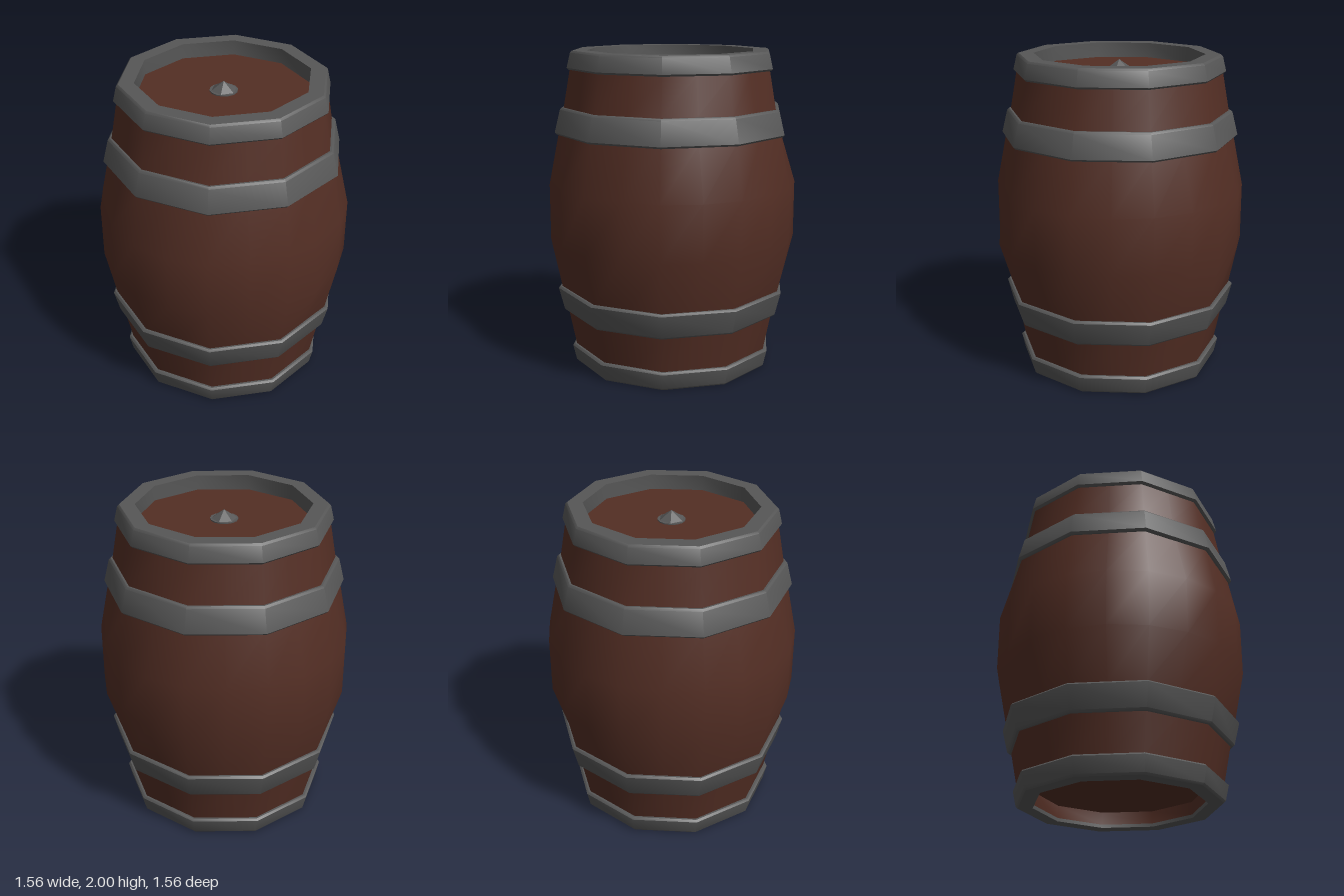
import * as THREE from 'three';
import { toCreasedNormals } from 'three/addons/utils/BufferGeometryUtils.js';

const wood = new THREE.MeshStandardMaterial({ color: 0x532e24 });
wood.name = 'brown wood';
const iron = new THREE.MeshStandardMaterial({ color: 0x575757 });
iron.name = 'grey iron';

const SIDES = 10;
const CREASE = 0.7; // keeps the sides smooth and the rims sharp

// Ten-sided revolved part with a corner on the x axis
function turned(name, profile, material) {
  const points = profile.map(([r, y]) => new THREE.Vector2(r, y));
  const geometry = toCreasedNormals(new THREE.LatheGeometry(points, SIDES, Math.PI / 2), CREASE);
  const mesh = new THREE.Mesh(geometry, material);
  mesh.name = name;
  return mesh;
}

// Closed iron ring: tapered outside, small bevels, straight inside
function hoop(name, y0, y1, r0, r1, inner) {
  const b = 0.012;
  return turned(name, [
    [inner, y0], [r0 - b, y0], [r0, y0 + b], [r1, y1 - b], [r1 - b, y1], [inner, y1], [inner, y0],
  ], iron);
}

// Bulging staves: ten-sided near the ends, twenty-sided round the belly
function staves() {
  const rings = [ // height, radius, round belly?
    [0.04, 0.61], [0.12, 0.632], [0.35, 0.678], [0.51, 0.715], [0.83, 0.78, true],
    [1.18, 0.78, true], [1.5, 0.715], [1.66, 0.68], [1.88, 0.64], [1.96, 0.62],
  ];
  const n = SIDES * 2;
  const positions = [];
  const index = [];
  rings.forEach(([y, r, round], j) => {
    for (let i = 0; i < n; i++) {
      const a = (i / n) * Math.PI * 2;
      const flatFront = j === 5 && i === n / 4; // one flattened stave
      const s = i % 2 && (!round || flatFront) ? r * Math.cos(Math.PI / SIDES) : r;
      positions.push(Math.cos(a) * s, y, Math.sin(a) * s);
      if (j === 0) continue;
      const k = (i + 1) % n;
      const low = (j - 1) * n;
      const high = j * n;
      index.push(low + i, high + i, low + k, low + k, high + i, high + k);
    }
  });
  const geometry = new THREE.BufferGeometry();
  geometry.setAttribute('position', new THREE.Float32BufferAttribute(positions, 3));
  geometry.setIndex(index);
  geometry.computeVertexNormals();
  const mesh = new THREE.Mesh(geometry, wood);
  mesh.name = 'staves';
  return mesh;
}

export function createModel() {
  const barrel = new THREE.Group();
  barrel.name = 'barrel';
  barrel.add(staves());

  // Iron hoops, from the ground up
  barrel.add(
    hoop('bottomRim', 0, 0.12, 0.635, 0.657, 0.53),
    hoop('lowerHoop', 0.35, 0.515, 0.705, 0.74, 0.62),
    hoop('upperHoop', 1.49, 1.655, 0.74, 0.705, 0.62),
    hoop('topRim', 1.885, 2, 0.657, 0.635, 0.53),
  );

  // Recessed heads, the lower one with a wooden lining
  barrel.add(
    turned('lid', [[0.54, 1.905], [0, 1.905]], wood),
    turned('base', [[0, 0.1], [0.54, 0.1]], wood),
    turned('baseLining', [[0.525, 0.1], [0.525, 0.02]], wood),
  );

  // Bung in the middle of the lid
  const plate = new THREE.Mesh(new THREE.CylinderGeometry(0.085, 0.085, 0.008, 14), iron);
  plate.name = 'bungPlate';
  plate.position.y = 1.908;
  const bung = new THREE.Mesh(
    toCreasedNormals(new THREE.ConeGeometry(0.08, 0.055, 6), 0.1), iron);
  bung.name = 'bung';
  bung.position.y = 1.938;
  barrel.add(plate, bung);

  return barrel;
}
